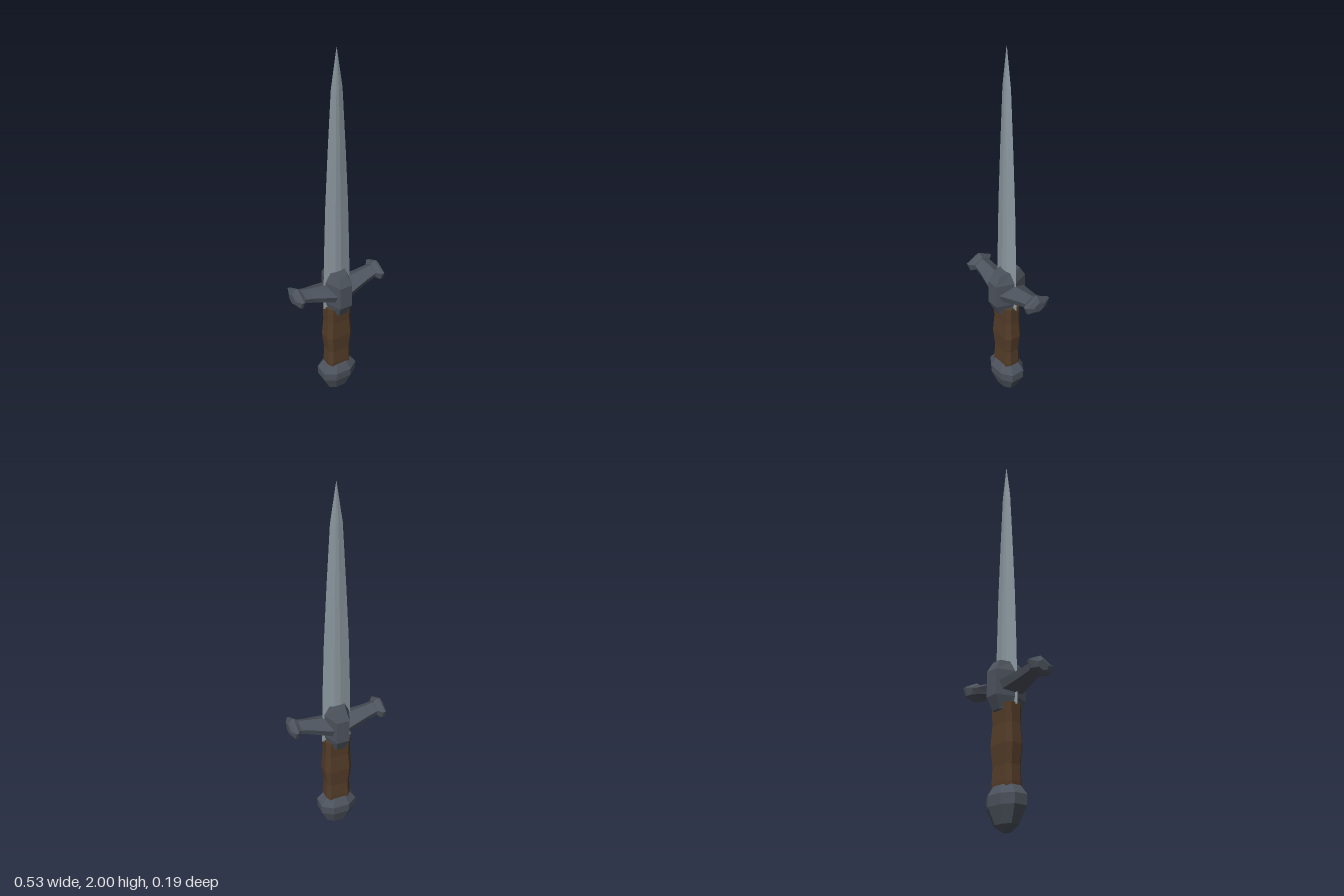
import * as THREE from 'three';

const steel = new THREE.MeshStandardMaterial({ color: 0x8d9aa1 });
steel.name = 'blade steel';
const iron = new THREE.MeshStandardMaterial({ color: 0x4d535d });
iron.name = 'dark iron';
const leather = new THREE.MeshStandardMaterial({ color: 0x533c28 });
leather.name = 'brown leather';

// Faceted skin over a list of equal-length loops, closed at both ends.
function loft(name, sections, material) {
  const n = sections[0].length;
  const index = [];
  for (let s = 0; s < sections.length - 1; s++) {
    for (let i = 0; i < n; i++) {
      const j = (i + 1) % n, a = s * n, b = a + n;
      index.push(a + i, a + j, b + j, a + i, b + j, b + i);
    }
  }
  const last = (sections.length - 1) * n;
  for (let i = 1; i < n - 1; i++) {
    index.push(0, i + 1, i, last, last + i, last + i + 1);
  }
  const geometry = new THREE.BufferGeometry();
  geometry.setAttribute('position', new THREE.Float32BufferAttribute(sections.flat(2), 3));
  geometry.setIndex(index);
  const flat = geometry.toNonIndexed();
  flat.computeVertexNormals();
  const mesh = new THREE.Mesh(flat, material);
  mesh.name = name;
  return mesh;
}

// Horizontal loops, counter-clockwise from above: w and d are half sizes.
const octagon = (fx, fz) => ([y, w, d]) => [
  [w, y, d * fz], [w, y, -d * fz], [w * fx, y, -d], [-w * fx, y, -d],
  [-w, y, -d * fz], [-w, y, d * fz], [-w * fx, y, d], [w * fx, y, d],
];
const hexagon = ([y, w, d, flat]) => [
  [w, y, 0], [flat, y, -d], [-flat, y, -d], [-w, y, 0], [-flat, y, d], [flat, y, d],
];

// Upright loop across a guard arm, ridged along top and bottom.
const armLoop = ([x, bottom, top, d]) => {
  const h = top - bottom;
  return [
    [x, bottom + h * 0.62, -d], [x, top, 0], [x, bottom + h * 0.62, d],
    [x, bottom + h * 0.2, d * 0.8], [x, bottom, 0], [x, bottom + h * 0.2, -d * 0.8],
  ];
};

export function createModel() {
  const dagger = new THREE.Group();
  dagger.name = 'dagger';

  // Tapering blade with a narrow raised centre
  dagger.add(loft('blade', [
    [0.59, 0.082, 0.018, 0.018], [0.9, 0.076, 0.016, 0.017], [1.2, 0.066, 0.014, 0.014],
    [1.5, 0.05, 0.012, 0.011], [1.81, 0.031, 0.008, 0.007], [2, 0.001, 0.001, 0.0005],
  ].map(hexagon), steel));

  // Wavy grip
  dagger.add(loft('grip', [
    [0.18, 0.068, 0.046], [0.22, 0.07, 0.048], [0.3, 0.066, 0.045],
    [0.4, 0.077, 0.052], [0.5, 0.069, 0.046], [0.6, 0.07, 0.05],
  ].map(octagon(0.72, 0.55)), leather));

  // Pommel
  dagger.add(loft('pommel', [
    [0, 0.02, 0.018], [0.03, 0.062, 0.045], [0.11, 0.1, 0.073],
    [0.16, 0.102, 0.076], [0.205, 0.07, 0.052],
  ].map(octagon(0.45, 0.5)), iron));

  // Central block of the guard
  dagger.add(loft('guardCentre', [
    [0.565, 0.055, 0.066, 0.025], [0.63, 0.07, 0.095, 0.035],
    [0.76, 0.07, 0.095, 0.035], [0.815, 0.045, 0.064, 0.027],
  ].map(hexagon), iron));

  // Two rising arms with flared ends
  for (const side of ['left', 'right']) {
    const arm = new THREE.Group();
    arm.name = side + 'GuardArm';
    arm.add(loft('arm', [
      [0.01, 0.63, 0.735, 0.084], [0.05, 0.642, 0.74, 0.078],
      [0.165, 0.68, 0.758, 0.054], [0.225, 0.698, 0.768, 0.048],
    ].map(armLoop), iron));
    arm.add(loft('armEnd', [
      [0.213, 0.698, 0.77, 0.048], [0.236, 0.68, 0.785, 0.077],
      [0.25, 0.684, 0.782, 0.077], [0.266, 0.702, 0.758, 0.035],
    ].map(armLoop), iron));
    if (side === 'right') arm.rotation.y = Math.PI;
    dagger.add(arm);
  }
  return dagger;
}
